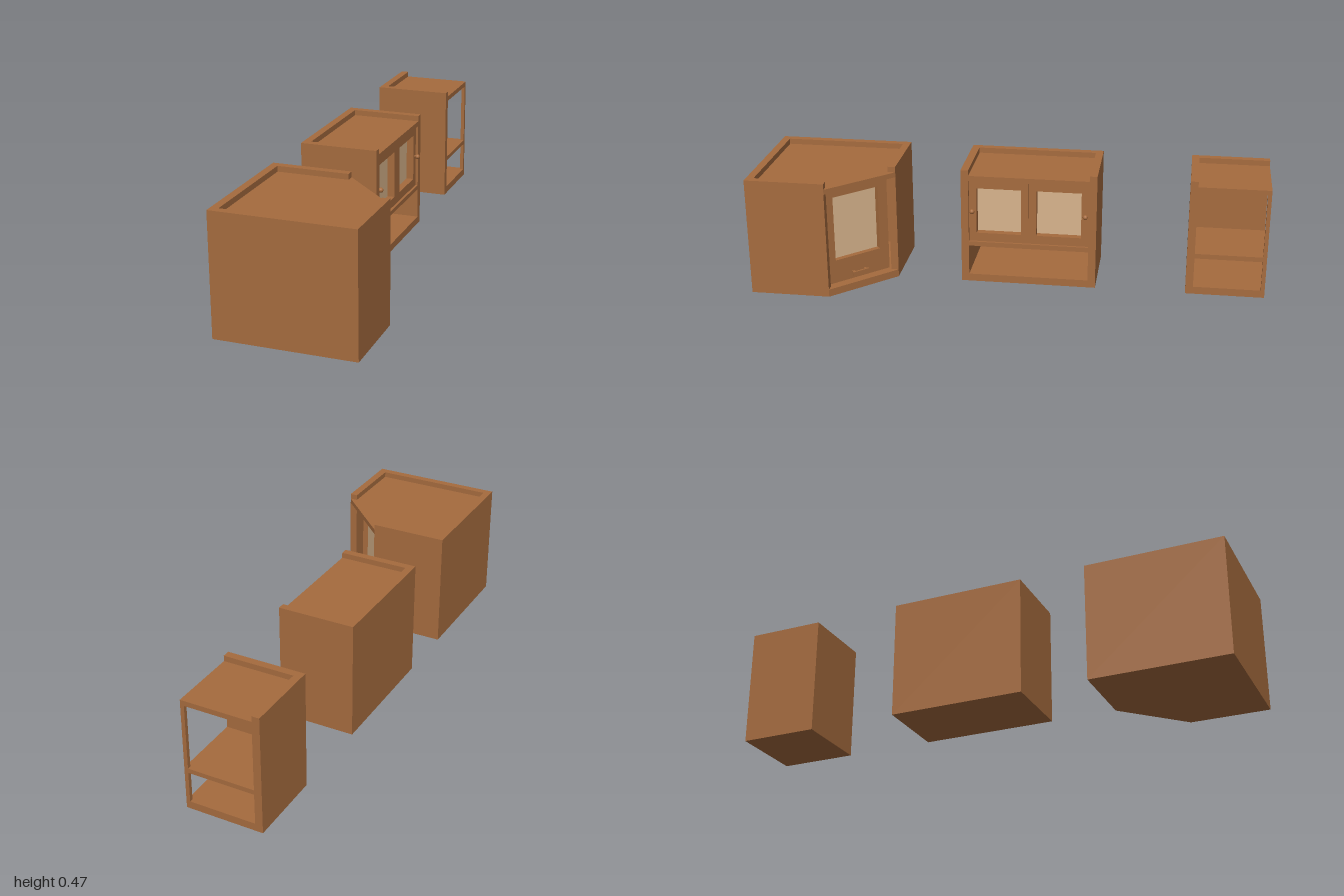
import * as THREE from 'three';

const H = 0.47, T = 0.03;            // cabinet height, board thickness
const BACK = -0.268, FRONT = 0.04;   // x limits of the straight cabinets
const LEVELS = { bottom: [0, 0.03], shelf: [0.153, 0.171], top: [0.428, 0.448] };

export function createModel() {
  const wood = new THREE.MeshStandardMaterial({ color: 0xa56b3e });
  wood.name = 'wood';
  const glass = new THREE.MeshStandardMaterial({ color: 0xd8b48c });
  glass.name = 'frosted glass';

  const add = (parent, name, geometry, material = wood) => {
    const mesh = new THREE.Mesh(geometry, material);
    mesh.name = name;
    parent.add(mesh);
    return mesh;
  };

  // Box given by its limits on each axis
  const board = (parent, name, [x0, x1], [y0, y1], [z0, z1]) =>
    add(parent, name, new THREE.BoxGeometry(x1 - x0, y1 - y0, z1 - z0))
      .position.set((x0 + x1) / 2, (y0 + y1) / 2, (z0 + z1) / 2);

  const group = (parent, name) => {
    const g = new THREE.Group();
    g.name = name;
    parent.add(g);
    return g;
  };

  // Framed door facing local +z, front face at z = 0, base at y = 0
  function door(parent, name, w, h, side, bottom, top, recess) {
    const g = group(parent, name);
    const rect = (P, x0, y0, x1, y1) => new P([[x0, y0], [x1, y0], [x1, y1], [x0, y1]]
      .map(([x, y]) => new THREE.Vector2(x, y)));
    const shape = rect(THREE.Shape, -w / 2, 0, w / 2, h);
    shape.holes.push(rect(THREE.Path, -w / 2 + side, bottom, w / 2 - side, h - top));
    const frame = new THREE.ExtrudeGeometry(shape, { depth: T, bevelEnabled: false });
    add(g, 'doorFrame', frame.translate(0, 0, -T));
    const pane = new THREE.BoxGeometry(w - 2 * side + 0.004, h - top - bottom + 0.004, 0.005);
    add(g, 'doorGlass', pane, glass).position.set(0, (bottom + h - top) / 2, -recess - 0.0025);
    return g;
  }

  const model = new THREE.Group();
  model.name = 'wallCabinets';

  // Corner cabinet with a diagonal door
  const corner = group(model, 'cornerCabinet');
  const right = 0.268, zBack = 0.46, zEnd = 1, zCut = 0.688;
  board(corner, 'backWall', [BACK, BACK + T], [0, H], [zBack, zEnd]);
  board(corner, 'outerWall', [BACK + T, right], [0, H], [zEnd - T, zEnd]);
  board(corner, 'innerWall', [BACK + T, FRONT], [0, H], [zBack, zBack + T]);
  board(corner, 'endWall', [right - T, right], [0, H], [zCut, zEnd - T]);
  const outline = new THREE.Shape([
    [BACK + T, zBack + T], [FRONT, zBack + T], [FRONT, zBack], [right, zCut],
    [right - T, zCut], [right - T, zEnd - T], [BACK + T, zEnd - T],
  ].map(([x, z]) => new THREE.Vector2(x, z)));
  for (const level of ['bottom', 'top']) {
    const [y0, y1] = LEVELS[level];
    const geometry = new THREE.ExtrudeGeometry(outline, { depth: y1 - y0, bevelEnabled: false });
    add(corner, level + 'Panel', geometry.rotateX(Math.PI / 2).translate(0, y1, 0));
  }
  const cornerDoor = door(corner, 'cornerDoor', 0.286, 0.398, 0.041, 0.095, 0.038, 0.022);
  cornerDoor.position.set(0.126, 0.03, 0.602);
  cornerDoor.rotation.y = Math.PI * 0.75;
  // Bar handle on two feet
  add(cornerDoor, 'handleBar', new THREE.BoxGeometry(0.072, 0.016, 0.008)).position.set(0, 0.025, 0.016);
  for (const s of [-1, 1])
    add(cornerDoor, 'handleFoot', new THREE.BoxGeometry(0.01, 0.014, 0.014)).position.set(s * 0.026, 0.025, 0.006);

  // Middle cabinet with two doors above an open shelf
  const middle = group(model, 'middleCabinet');
  const m0 = -0.336, m1 = 0.2;
  board(middle, 'backWall', [BACK, BACK + T], [0, H], [m0, m1]);
  board(middle, 'rightWall', [BACK + T, FRONT], [0, H], [m0, m0 + T]);
  board(middle, 'leftWall', [BACK + T, FRONT], [0, H], [m1 - T, m1]);
  for (const [level, range] of Object.entries(LEVELS))
    board(middle, level + 'Panel', [BACK + T, FRONT], range, [m0 + T, m1 - T]);
  for (const s of [-1, 1]) {
    const d = door(middle, 'middleDoor', 0.237, 0.257, 0.03, 0.035, 0.034, 0.029);
    d.position.set(0.03, 0.171, -0.068 + s * 0.119);
    d.rotation.y = Math.PI / 2;
    // Round knob near the outer edge
    const knob = group(d, 'knob');
    knob.position.set(-s * 0.105, 0.129, 0);
    add(knob, 'knobStem', new THREE.CylinderGeometry(0.005, 0.005, 0.012, 16).rotateX(Math.PI / 2)).position.z = 0.005;
    add(knob, 'knobBall', new THREE.SphereGeometry(0.01, 20, 14)).position.z = 0.0125;
  }

  // End cabinet, open on two sides with a corner post
  const end = group(model, 'endShelf');
  const e0 = -1, e1 = -0.692, post = 0.015;
  board(end, 'backWall', [BACK, BACK + T], [0, H], [e0, e1]);
  board(end, 'sideWall', [BACK + T, FRONT], [0, H], [e1 - T, e1]);
  for (const [level, range] of Object.entries(LEVELS))
    board(end, level + 'Panel', [BACK + T, FRONT], range, [e0, e1 - T]);
  for (const [y0, y1] of [[0.03, 0.153], [0.171, 0.428]])
    board(end, 'cornerPost', [FRONT - post, FRONT], [y0, y1], [e0, e0 + post]);

  return model;
}
